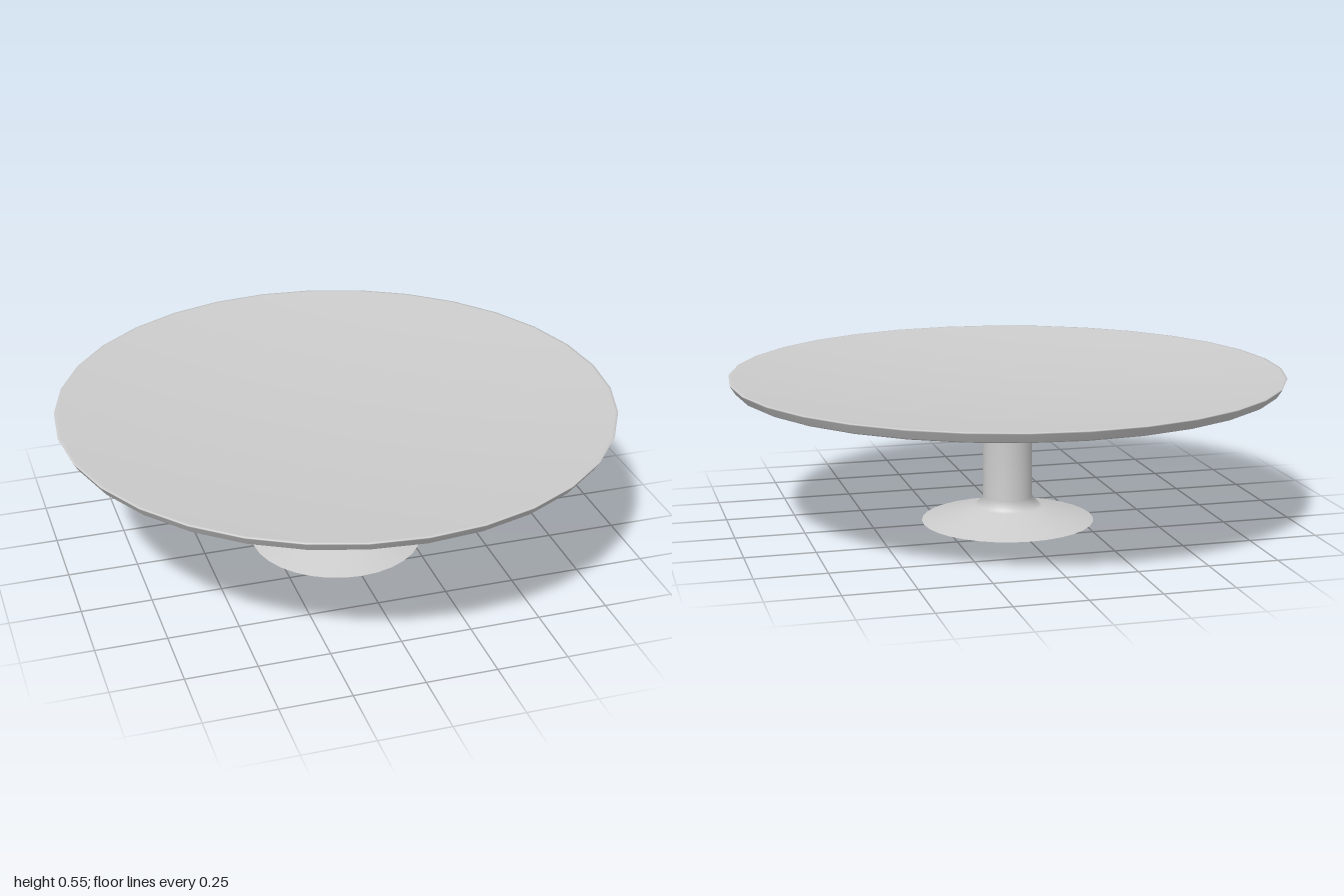
import * as THREE from 'three';

const SEGMENTS = 32;

// Revolve a profile; points run along the outside from bottom to top.
function turned(name, points, material) {
  const geometry = new THREE.LatheGeometry(points.map(([r, y]) => new THREE.Vector2(r, y)), SEGMENTS);
  const mesh = new THREE.Mesh(geometry, material);
  mesh.name = name;
  return mesh;
}

export function createModel() {
  const group = new THREE.Group();
  group.name = 'cakeStand';
  const material = new THREE.MeshStandardMaterial({ color: 0xcccccc });

  // Slightly hollow underside of the foot
  group.add(turned('footUnderside', [[0, 0.01], [0.315, 0]], material));

  // Flared foot, round stem and collar under the plate
  group.add(turned('footAndStem', [
    [0.315, 0], [0.125, 0.052], [0.115, 0.06], [0.09, 0.088],
    [0.09, 0.45], [0.105, 0.46], [0.15, 0.486],
  ], material));

  // Shallow conical underside of the plate
  group.add(turned('plateUnderside', [[0.15, 0.486], [0.97, 0.512], [0.98, 0.517]], material));

  // Outward-leaning rim
  group.add(turned('plateRim', [[0.98, 0.517], [0.998, 0.545], [1, 0.55], [0.99, 0.55]], material));

  // Gently dished top, a parabola from rim to centre
  const dish = [];
  for (let i = 0; i <= 10; i++) {
    const r = 0.99 * (1 - i / 10);
    dish.push([r, 0.5 + 0.05 * (r / 0.99) ** 2]);
  }
  group.add(turned('plateTop', dish, material));

  return group;
}
